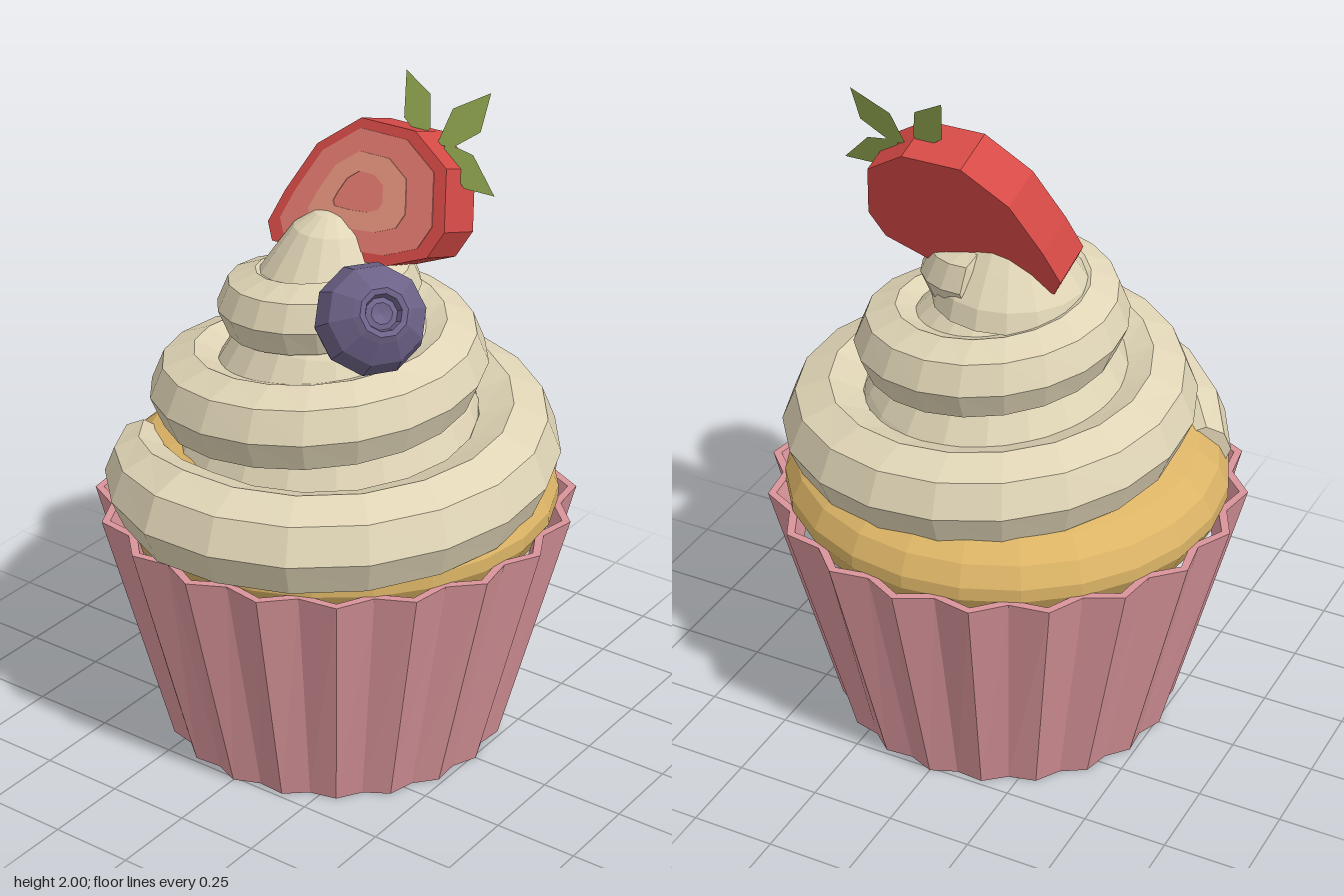
import * as THREE from 'three';

const mat = (name, color, side = THREE.FrontSide) =>
  Object.assign(new THREE.MeshStandardMaterial({ color, side, flatShading: true }), { name });

// Surface through a list of closed rings with equal point counts
function loft(rings) {
  const n = rings[0].length, pos = [], index = [];
  rings.forEach(ring => ring.forEach(p => pos.push(...p)));
  for (let i = 0; i < rings.length - 1; i++) {
    for (let j = 0; j < n; j++) {
      const a = i * n + j, b = i * n + (j + 1) % n;
      index.push(a, b, b + n, a, b + n, a + n);
    }
  }
  const g = new THREE.BufferGeometry();
  g.setAttribute('position', new THREE.Float32BufferAttribute(pos, 3));
  g.setIndex(index);
  g.computeVertexNormals();
  return g;
}

const lathe = (pts, sides) => new THREE.LatheGeometry(pts.map(p => new THREE.Vector2(...p)), sides);
const scaled = (pts, s) => pts.map(([x, y]) => new THREE.Vector2(x * s, y * s));

// Linear lookup in evenly spaced samples
function sample(list, t) {
  const i = Math.min(Math.max(Math.floor(t), 0), list.length - 2);
  return THREE.MathUtils.lerp(list[i], list[i + 1], t - i);
}

export function createModel() {
  const model = new THREE.Group();
  model.name = 'cupcake';
  const paper = mat('paper pink', 0xd8949a);
  const sponge = mat('sponge gold', 0xdcb466);
  const cream = mat('cream', 0xe0d5b6);
  const red = mat('strawberry red', 0xd54a46);
  const flesh = mat('strawberry flesh', 0xe27a70);
  const heart = mat('strawberry heart', 0xe8967f);
  const green = mat('leaf green', 0x93a850, THREE.DoubleSide);
  const berry = mat('blueberry purple', 0x6d6288);

  const add = (name, geometry, material, parent = model) => {
    const mesh = new THREE.Mesh(geometry, material);
    mesh.name = name;
    parent.add(mesh);
    return mesh;
  };

  // Pleated wrapper: floor, outer wall, rim and inner wall
  const pleatRing = (peak, valley, y) => Array.from({ length: 40 }, (_, i) => {
    const a = i * Math.PI / 20, r = i % 2 ? valley : peak;
    return [r * Math.sin(a), y, r * Math.cos(a)];
  });
  add('wrapper', loft([
    pleatRing(0, 0, 0), pleatRing(0.51, 0.485, 0), pleatRing(0.705, 0.66, 0.75),
    pleatRing(0.68, 0.635, 0.75), pleatRing(0.66, 0.615, 0.68),
  ]), paper);

  // Sponge dome
  add('sponge', lathe([[0.6, 0.66], [0.65, 0.75], [0.65, 0.79], [0.62, 0.85], [0.56, 0.9],
    [0.4, 0.95], [0, 0.97]], 24), sponge);

  // Piped cream: an octagonal rope wound up in a shrinking spiral, t in quarter turns
  const outer = [0.73, 0.71, 0.67, 0.62, 0.56, 0.51, 0.455, 0.405, 0.36, 0.31, 0.26, 0.21];
  const height = [0.83, 0.87, 0.91, 0.97, 1.035, 1.11, 1.175, 1.235, 1.305, 1.36, 1.41, 1.45];
  const ropeRing = (t, r) => {
    const a = t * Math.PI / 2;
    const bulge = 0.035 * Math.max(0, 1 - Math.abs(t - 0.4) / 0.8);
    const mid = sample(outer, t + 1) + bulge - sample([0.15, 0.1], (t + 1) / 11);
    const y = sample(height, t + 1);
    return Array.from({ length: 8 }, (_, k) => {
      const b = k * Math.PI / 4, d = mid + r * Math.cos(b);
      return [d * Math.sin(a), y - r * Math.sin(b), d * Math.cos(a)];
    });
  };
  const rings = [ropeRing(-0.72, 0)];
  for (let t = -0.72; t <= 10; t += 0.2) {
    const grow = Math.min(1, 0.5 + (t + 0.72) * 0.9);
    rings.push(ropeRing(t, grow * sample([0.15, 0.1], (t + 1) / 11)));
  }
  rings.push(ropeRing(10, 0));
  add('creamSwirl', loft(rings), cream);

  // Cream core and pointed peak
  add('creamCore', lathe([[0.48, 0.88], [0.4, 1.06], [0.27, 1.28], [0.1, 1.45], [0, 1.5]], 20), cream);
  add('creamPeak', lathe([[0.23, 1.36], [0.215, 1.42], [0.16, 1.5], [0.11, 1.57],
    [0.05, 1.61], [0, 1.622]], 16), cream).position.set(-0.02, 0, -0.01);

  // Strawberry slice, leaning back
  const slice = new THREE.Group();
  slice.name = 'strawberrySlice';
  slice.position.set(0.07, 1.665, -0.09);
  slice.rotation.x = -0.3;
  model.add(slice);
  const outline = [[-0.29, -0.15], [-0.265, -0.2], [-0.07, -0.2], [0.13, -0.18], [0.25, -0.13],
    [0.29, -0.05], [0.26, 0.12], [0.14, 0.2], [-0.04, 0.2], [-0.17, 0.1], [-0.25, -0.05]];
  const plate = (name, shape, z, depth, material) =>
    add(name, new THREE.ExtrudeGeometry(shape, { depth, bevelEnabled: false }), material, slice)
      .position.z = z;
  plate('strawberryBody', new THREE.Shape(scaled(outline, 1)), -0.075, 0.15, red);
  plate('strawberryFlesh', new THREE.Shape(scaled(outline, 0.86)), 0.072, 0.006, flesh);
  const ring = new THREE.Shape(scaled(outline, 0.55));
  ring.holes.push(new THREE.Path(scaled(outline, 0.28)));
  plate('strawberryHeart', ring, 0.075, 0.006, heart);

  // Flat pointed leaves
  [
    [[0.03, 0.35], [-0.03, 0.22], [0.05, 0.19], [0.14, 0.2], [0.12, 0.3]],
    [[0.31, 0.34], [0.2, 0.275], [0.17, 0.17], [0.22, 0.17], [0.3, 0.23]],
    [[0.38, 0.07], [0.29, 0.165], [0.2, 0.18], [0.19, 0.15], [0.28, 0.07]],
  ].forEach((pts, i) => {
    if (i === 0) pts = [[0.03, 0.35], [0.05, 0.22], [0.12, 0.17], [0.14, 0.21], [0.12, 0.3]];
    add('leaf', new THREE.ShapeGeometry(new THREE.Shape(scaled(pts, 1))), green, slice);
  });

  // Blueberry with a sunken crown
  const blueberry = add('blueberry', lathe([[0, -0.148], [0.08, -0.132], [0.138, -0.075], [0.158, 0],
    [0.138, 0.078], [0.085, 0.132], [0.068, 0.146], [0.052, 0.142], [0.045, 0.118],
    [0.03, 0.122], [0, 0.112]], 10), berry);
  blueberry.position.set(0.27, 1.44, 0.215);
  blueberry.quaternion.setFromUnitVectors(new THREE.Vector3(0, 1, 0),
    new THREE.Vector3(0.68, 0.5, 0.53).normalize());

  return model;
}
